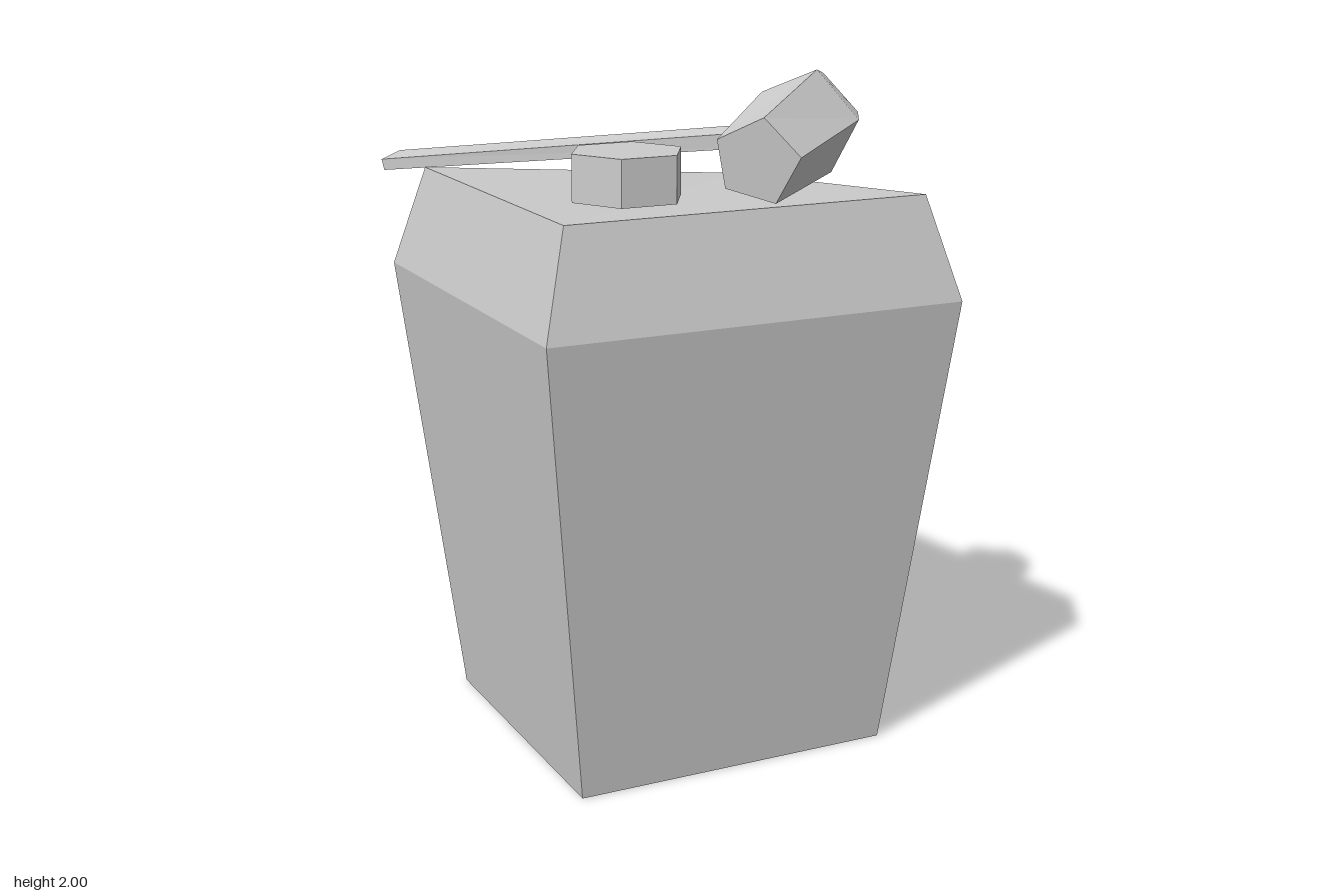
import * as THREE from 'three';

// Skin a stack of rings (corners counter-clockwise seen from the last ring), with optional caps
function loft(rings, capStart, capEnd) {
  const pos = [];
  const tri = (...corners) => corners.forEach((p) => pos.push(...p));
  const n = rings[0].length;
  for (let r = 0; r < rings.length - 1; r++) {
    const a = rings[r], b = rings[r + 1];
    for (let i = 0; i < n; i++) {
      const j = (i + 1) % n;
      tri(a[i], a[j], b[j]);
      tri(a[i], b[j], b[i]);
    }
  }
  const first = rings[0], last = rings[rings.length - 1];
  for (let i = 1; i < n - 1; i++) {
    if (capStart) tri(first[0], first[i + 1], first[i]);
    if (capEnd) tri(last[0], last[i], last[i + 1]);
  }
  const geo = new THREE.BufferGeometry();
  geo.setAttribute('position', new THREE.Float32BufferAttribute(pos, 3));
  geo.computeVertexNormals();
  return geo;
}

export function createModel() {
  const group = new THREE.Group();
  const grey = new THREE.MeshStandardMaterial({ color: 0xcccccc, flatShading: true, side: THREE.DoubleSide });
  grey.name = 'light grey';
  const add = (name, geo) => {
    const mesh = new THREE.Mesh(geo, grey);
    mesh.name = name;
    group.add(mesh);
    return mesh;
  };

  // Tapered can with a sloping shoulder, one dented back corner and an open underside
  add('body', loft([
    [[-0.485, 0, 0.525], [0.495, 0, 0.525], [0.495, 0, -0.415], [-0.485, 0, -0.415]],
    [[-0.635, 1.37, 0.667], [0.645, 1.37, 0.667], [0.577, 1.298, -0.45], [-0.635, 1.37, -0.56]],
    [[-0.55, 1.672, 0.59], [0.56, 1.672, 0.59], [0.463, 1.60, -0.376], [-0.55, 1.672, -0.485]],
  ], false, true));

  // Hexagonal filler cap
  const cap = add('cap', new THREE.CylinderGeometry(0.168, 0.168, 0.135, 6));
  cap.rotation.y = Math.PI / 2;
  cap.position.set(-0.225, 1.738, 0.28);

  // Five-sided valve head, swelling and then bevelled at its far end
  add('valveHead', loft([
    [[-0.027, 1.844, 0.44], [0.058, 1.912, 0.552], [0.137, 1.807, 0.62], [0.1, 1.673, 0.549], [0, 1.706, 0.44]],
    [[0.27, 1.927, 0.148], [0.375, 2.0, 0.284], [0.47, 1.86, 0.365], [0.43, 1.70, 0.284], [0.305, 1.74, 0.152]],
    [[0.36, 1.918, 0.103], [0.438, 1.98, 0.213], [0.518, 1.87, 0.28], [0.485, 1.754, 0.215], [0.383, 1.78, 0.103]],
  ], true, true));

  // Flat lever running to the back corner, its near end buried in the head
  add('lever', loft([
    [[-0.648, 1.686, -0.607], [-0.642, 1.653, -0.602], [-0.56, 1.668, -0.668], [-0.566, 1.70, -0.672]],
    [[0.20, 1.845, 0.36], [0.21, 1.80, 0.365], [0.265, 1.805, 0.315], [0.255, 1.86, 0.31]],
  ], true, true));

  return group;
}
